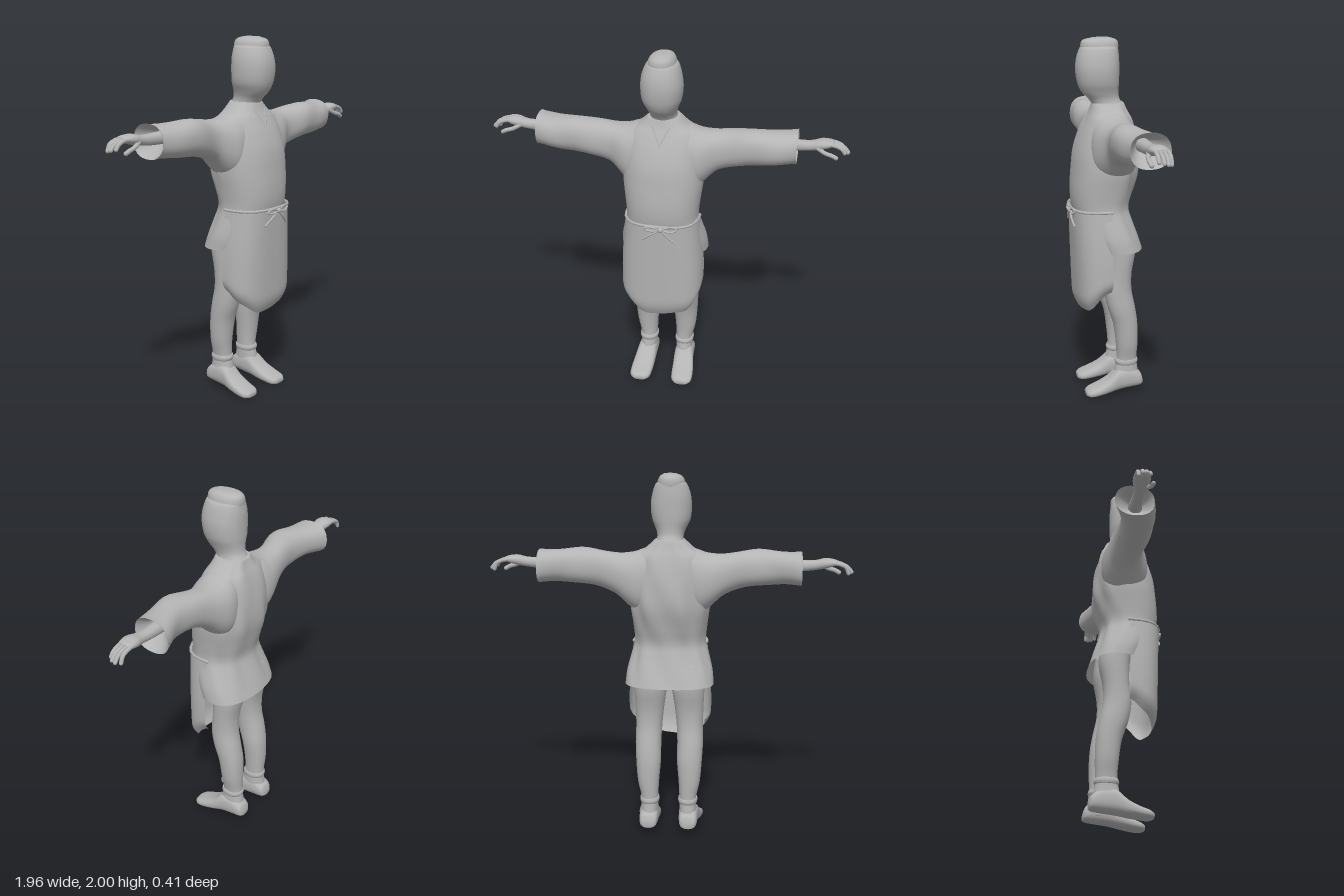
import * as THREE from 'three';

const grey = new THREE.MeshStandardMaterial({ color: 0xb4b4b4, side: THREE.DoubleSide });
grey.name = 'plain grey';

const part = (name, geometry, parent) => {
  const mesh = new THREE.Mesh(geometry, grey);
  mesh.name = name;
  parent.add(mesh);
  return mesh;
};

const power = (v, n) => Math.sign(v) * Math.abs(v) ** (2 / n);

// Lofts rounded sections [t, a0, a1, b0, b1] along an axis, smoothly interpolated.
// Axis x uses a = y, b = z; axis y uses a = z, b = x; axis z uses a = x, b = y.
function loft(axis, rings, { n = 2.2, capStart = true, capEnd = true, sides = 32, steps = 4, fold } = {}) {
  const place = {
    x: (t, a, b) => [t, a, b],
    y: (t, a, b) => [b, t, a],
    z: (t, a, b) => [a, b, t],
  }[axis];
  const sections = [];
  for (let i = 0; i < rings.length - 1; i++) {
    const p0 = rings[Math.max(i - 1, 0)], p1 = rings[i], p2 = rings[i + 1];
    const p3 = rings[Math.min(i + 2, rings.length - 1)];
    for (let s = 0; s < steps; s++) {
      const u = s / steps;
      sections.push(p1.map((v, k) => {
        if (k === 0) return v + (p2[0] - v) * u;
        const span = p2[0] - v0(p1);
        const m1 = (p2[k] - p0[k]) / (p2[0] - p0[0]) * span;
        const m2 = (p3[k] - v) / (p3[0] - p1[0]) * span;
        return v * (2 * u ** 3 - 3 * u * u + 1) + m1 * (u ** 3 - 2 * u * u + u)
          + p2[k] * (3 * u * u - 2 * u ** 3) + m2 * (u ** 3 - u * u);
      }));
    }
  }
  sections.push(rings[rings.length - 1]);
  const pos = [], index = [];
  for (const [t, a0, a1, b0, b1] of sections) {
    for (let j = 0; j < sides; j++) {
      const th = j / sides * Math.PI * 2;
      const k = fold ? 1 + fold(t, th) : 1;
      pos.push(...place(t, (a0 + a1) / 2 + (a1 - a0) / 2 * k * power(Math.cos(th), n),
        (b0 + b1) / 2 + (b1 - b0) / 2 * k * power(Math.sin(th), n)));
    }
  }
  for (let i = 0; i < sections.length - 1; i++) {
    for (let j = 0; j < sides; j++) {
      const k = (j + 1) % sides, a = i * sides, b = a + sides;
      index.push(a + j, a + k, b + j, a + k, b + k, b + j);
    }
  }
  const cap = (row, flip) => {
    const [t, a0, a1, b0, b1] = sections[row], c = pos.length / 3;
    pos.push(...place(t, (a0 + a1) / 2, (b0 + b1) / 2));
    for (let j = 0; j < sides; j++) {
      const p = row * sides + j, q = row * sides + (j + 1) % sides;
      index.push(c, flip ? q : p, flip ? p : q);
    }
  };
  if (capStart) cap(0, true);
  if (capEnd) cap(sections.length - 1, false);
  const g = new THREE.BufferGeometry();
  g.setAttribute('position', new THREE.Float32BufferAttribute(pos, 3));
  g.setIndex(index);
  g.computeVertexNormals();
  return g;
}
const v0 = (ring) => ring[0];

// Round cord through points, with rounded ends
function cord(name, points, radius, parent) {
  const pts = points.map((p) => new THREE.Vector3(...p));
  part(name, new THREE.TubeGeometry(new THREE.CatmullRomCurve3(pts), 14, radius, 8), parent);
  for (const p of [pts[0], pts[pts.length - 1]]) {
    part(name + 'End', new THREE.SphereGeometry(radius, 8, 6), parent).position.copy(p);
  }
}

// Everything that exists once per side, built on +x
function buildSide(name) {
  const side = new THREE.Group();
  side.name = name;

  // Wide sleeve with an open, slanted cuff
  part('sleeve', loft('x', [
    [0.08, 1.27, 1.615, -0.13, 0.09], [0.14, 1.25, 1.605, -0.15, 0.105], [0.2, 1.275, 1.585, -0.15, 0.1],
    [0.3, 1.365, 1.58, -0.125, 0.055], [0.45, 1.405, 1.605, -0.1, 0.075],
    [0.58, 1.42, 1.595, -0.12, 0.07], [0.705, 1.42, 1.6, -0.165, 0.04],
  ], { n: 2.3, capEnd: false, fold: (x, th) => 0.03 * Math.sin(x * 26 + th * 2) * THREE.MathUtils.smoothstep(x, 0.2, 0.4) }), side);
  part('cuffLining', loft('x', [
    [0.62, 1.49, 1.56, -0.085, -0.01], [0.67, 1.44, 1.58, -0.14, 0.02], [0.705, 1.42, 1.6, -0.165, 0.04],
  ], { n: 2.3, capEnd: false, capStart: false }), side);

  // Forearm, palm, fingers and thumb
  part('forearmAndPalm', loft('x', [
    [0.58, 1.49, 1.56, -0.085, -0.01], [0.72, 1.495, 1.553, -0.08, -0.018], [0.78, 1.502, 1.555, -0.083, -0.015],
    [0.83, 1.512, 1.566, -0.098, -0.008], [0.875, 1.525, 1.562, -0.1, -0.015], [0.895, 1.535, 1.555, -0.092, -0.03],
  ], { sides: 20 }), side);
  [[-0.09, 0.95], [-0.07, 0.968], [-0.05, 0.966], [-0.03, 0.95]].forEach(([z, tip], i) => {
    cord('finger' + (i + 1), [[0.86, 1.545, z], [0.905, 1.538, z], [(0.905 + tip) / 2 + 0.008, 1.523, z],
      [tip, 1.492 + 0.004 * i, z]], 0.0105, side);
  });
  cord('thumb', [[0.81, 1.525, -0.02], [0.85, 1.505, -0.008], [0.885, 1.495, -0.005], [0.908, 1.483, -0.008]], 0.012, side);

  // Leg and soft boot
  part('leg', loft('y', [
    [0.06, -0.185, -0.04, 0.06, 0.16], [0.12, -0.175, -0.035, 0.06, 0.158], [0.2, -0.165, -0.05, 0.06, 0.155],
    [0.3, -0.168, -0.045, 0.055, 0.175], [0.42, -0.165, -0.028, 0.045, 0.185], [0.52, -0.15, 0.005, 0.045, 0.19],
    [0.62, -0.13, 0.022, 0.04, 0.188], [0.72, -0.13, 0.012, 0.03, 0.19], [0.85, -0.152, 0.015, 0.012, 0.195],
    [0.98, -0.14, 0.04, 0.005, 0.19],
  ], { sides: 24 }), side);
  part('bootTop', loft('y', [
    [0.175, -0.168, -0.045, 0.056, 0.16], [0.19, -0.172, -0.04, 0.053, 0.163], [0.205, -0.168, -0.045, 0.056, 0.16],
  ], { sides: 24 }), side);
  part('foot', loft('z', [
    [-0.198, 0.085, 0.14, 0.045, 0.08], [-0.185, 0.066, 0.158, 0.038, 0.115], [-0.13, 0.058, 0.165, 0.03, 0.15],
    [-0.06, 0.056, 0.17, 0.022, 0.15], [0, 0.057, 0.18, 0.012, 0.098], [0.06, 0.06, 0.186, 0.004, 0.065],
    [0.11, 0.068, 0.182, 0, 0.046], [0.133, 0.09, 0.16, 0.006, 0.032],
  ], { n: 2.6, sides: 24 }), side);
  return side;
}

export function createModel() {
  const model = new THREE.Group();
  model.name = 'robedFigure';

  // Head with flat-topped hair, tapering into the neck
  part('head', loft('y', [
    [1.58, -0.12, 0.05, -0.09, 0.09], [1.64, -0.105, 0.062, -0.075, 0.075], [1.675, -0.085, 0.085, -0.073, 0.07],
    [1.71, -0.08, 0.12, -0.085, 0.08], [1.76, -0.082, 0.143, -0.108, 0.1], [1.83, -0.083, 0.153, -0.114, 0.108],
    [1.89, -0.082, 0.148, -0.108, 0.1], [1.94, -0.077, 0.132, -0.09, 0.084], [1.955, -0.075, 0.122, -0.078, 0.07],
  ], { n: 2.2 }), model);
  part('hairTop', loft('y', [
    [1.93, -0.077, 0.125, -0.08, 0.073], [1.965, -0.078, 0.125, -0.075, 0.068],
    [1.988, -0.066, 0.11, -0.058, 0.055], [2, -0.03, 0.06, -0.03, 0.035],
  ]), model);

  // Tunic with a flared, open skirt; the back is gently creased
  const crease = (y, th) => Math.max(0, -Math.cos(th)) * 0.045 * Math.sin(th * 9 + y * 7) * Math.sin(y * 11);
  part('tunic', loft('y', [
    [0.86, -0.2, 0.09, -0.245, 0.245], [0.93, -0.175, 0.12, -0.238, 0.238], [1.02, -0.145, 0.155, -0.215, 0.215],
    [1.09, -0.13, 0.178, -0.198, 0.198], [1.18, -0.15, 0.185, -0.205, 0.205], [1.29, -0.175, 0.178, -0.218, 0.218],
    [1.4, -0.175, 0.165, -0.215, 0.215], [1.5, -0.16, 0.133, -0.205, 0.205], [1.57, -0.14, 0.1, -0.185, 0.185],
    [1.61, -0.122, 0.08, -0.13, 0.13], [1.655, -0.105, 0.065, -0.08, 0.08],
  ], { n: 2.35, sides: 56, capStart: false, fold: crease }), model);

  // Collar edges meeting in a V
  for (const s of [-1, 1]) {
    cord('collarEdge', [[s * 0.045, 1.615, 0.072], [s * 0.022, 1.57, 0.098], [0, 1.525, 0.12]], 0.004, model);
  }

  // Long apron wrapped around the front, with a rounded hem tucked under
  const apron = new THREE.PlaneGeometry(2, 1, 40, 20);
  const p = apron.attributes.position;
  for (let i = 0; i < p.count; i++) {
    const u = p.getX(i), v = p.getY(i) + 0.5, th = u * Math.PI / 2;
    const hem = 0.5 + 0.13 * u * u + 0.008 * Math.sin(u * 9);
    const tuck = 1 - 0.16 * Math.max(0, 1 - v / 0.15) ** 2;
    const width = (0.203 + 0.028 * Math.sin(Math.min(1, (1 - v) * 1.3) * Math.PI / 2)) * tuck;
    const depth = (0.168 + 0.022 * v) * tuck;
    p.setXYZ(i, width * power(Math.sin(th), 2.9), hem + (1.095 - hem) * v, depth * power(Math.cos(th), 2.9));
  }
  apron.computeVertexNormals();
  part('apron', apron, model);

  // Waist cord with a tied bow
  const waist = [];
  for (let i = 0; i <= 16; i++) {
    const th = (i / 8 - 1) * Math.PI / 2;
    waist.push([0.203 * power(Math.sin(th), 2.9), 1.085, 0.19 * power(Math.cos(th), 2.9)]);
  }
  cord('waistCord', waist, 0.008, model);
  part('bowKnot', new THREE.SphereGeometry(0.016, 12, 8), model).position.set(0.02, 1.07, 0.193);
  cord('bowLoopRight', [[0.02, 1.07, 0.193], [-0.04, 1.085, 0.196], [-0.075, 1.07, 0.194], [-0.03, 1.06, 0.196], [0.02, 1.07, 0.193]], 0.006, model);
  cord('bowLoopLeft', [[0.02, 1.07, 0.193], [0.07, 1.09, 0.192], [0.11, 1.08, 0.185], [0.08, 1.06, 0.192], [0.02, 1.07, 0.193]], 0.006, model);
  cord('bowTailRight', [[0.02, 1.07, 0.193], [-0.03, 1.04, 0.196], [-0.085, 1.0, 0.186]], 0.006, model);
  cord('bowTailLeft', [[0.02, 1.07, 0.193], [0.055, 1.035, 0.195], [0.095, 0.995, 0.186]], 0.006, model);

  const right = buildSide('rightLimbs');
  right.scale.x = -1;
  model.add(buildSide('leftLimbs'), right);
  return model;
}
